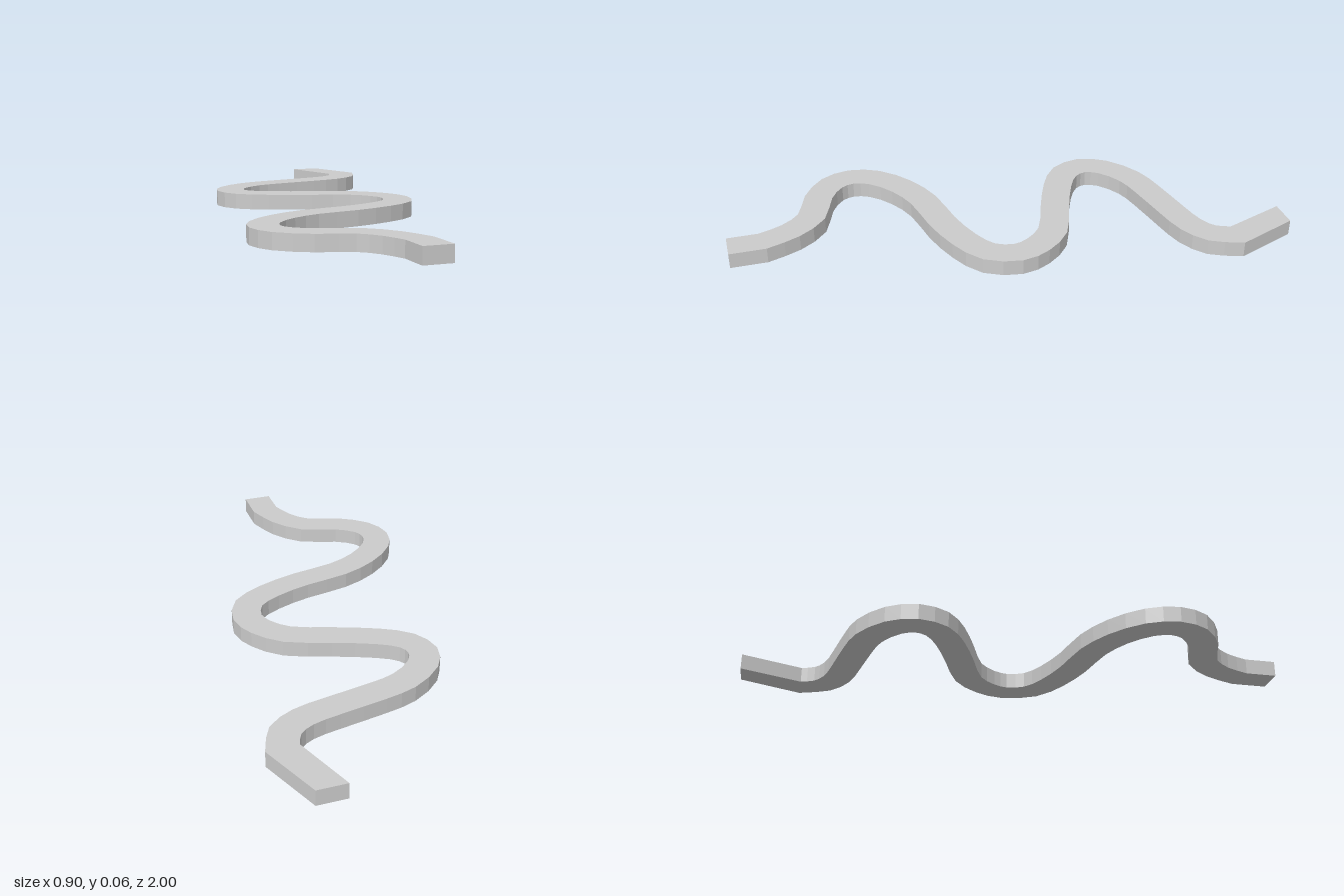
import * as THREE from 'three';

const HEIGHT = 0.058;
const HALF_WIDTH = 0.053;

// Bends of the path centreline as [x, z], front to back, without the straight ends
const BENDS = [
  [-0.033, 0.875], [-0.075, 0.77], [-0.15, 0.685], [-0.28, 0.64], [-0.37, 0.575],
  [-0.398, 0.497], [-0.37, 0.41], [-0.275, 0.32], [-0.155, 0.262], [0.01, 0.228],
  [0.15, 0.18], [0.25, 0.115], [0.283, 0.015], [0.255, -0.065], [0.18, -0.143],
  [0.03, -0.2], [-0.12, -0.26], [-0.21, -0.32], [-0.238, -0.395], [-0.205, -0.475],
  [-0.105, -0.55], [0, -0.58], [0.17, -0.613], [0.28, -0.64], [0.355, -0.69],
  [0.39, -0.775],
];
const FRONT_END = new THREE.Vector2(-0.033, 1);
const BACK_END = new THREE.Vector2(0.305, -1);

// Outline of a constant-width ribbon with mitred corners and ends cut square to z
function ribbonShape(line) {
  const left = [], right = [];
  line.forEach((p, i) => {
    const offset = new THREE.Vector2(HALF_WIDTH, 0);
    if (i > 0 && i < line.length - 1) {
      const a = p.clone().sub(line[i - 1]).normalize();
      const b = line[i + 1].clone().sub(p).normalize();
      const t = a.clone().add(b).normalize();
      offset.set(-t.y, t.x).multiplyScalar(HALF_WIDTH / t.dot(a));
    }
    right.push(p.clone().add(offset));
    left.push(p.clone().sub(offset));
  });
  // Shape y becomes -z once the extrusion is laid flat
  const outline = [...right, ...left.reverse()].map((p) => new THREE.Vector2(p.x, -p.y));
  return new THREE.Shape(outline);
}

export function createModel() {
  const group = new THREE.Group();
  group.name = 'windingPath';

  // Curved middle between the two straight ends
  const curve = new THREE.CatmullRomCurve3(
    BENDS.map(([x, z]) => new THREE.Vector3(x, 0, z)), false, 'centripetal');
  const middle = curve.getPoints((BENDS.length - 1) * 2).map((p) => new THREE.Vector2(p.x, p.z));

  // Flat slab following the winding line
  const geometry = new THREE.ExtrudeGeometry(
    ribbonShape([FRONT_END, ...middle, BACK_END]), { depth: HEIGHT, bevelEnabled: false });
  geometry.rotateX(-Math.PI / 2);

  const slab = new THREE.Mesh(
    geometry, new THREE.MeshStandardMaterial({ color: 0xcccccc, flatShading: true }));
  slab.name = 'windingSlab';
  group.add(slab);
  return group;
}
